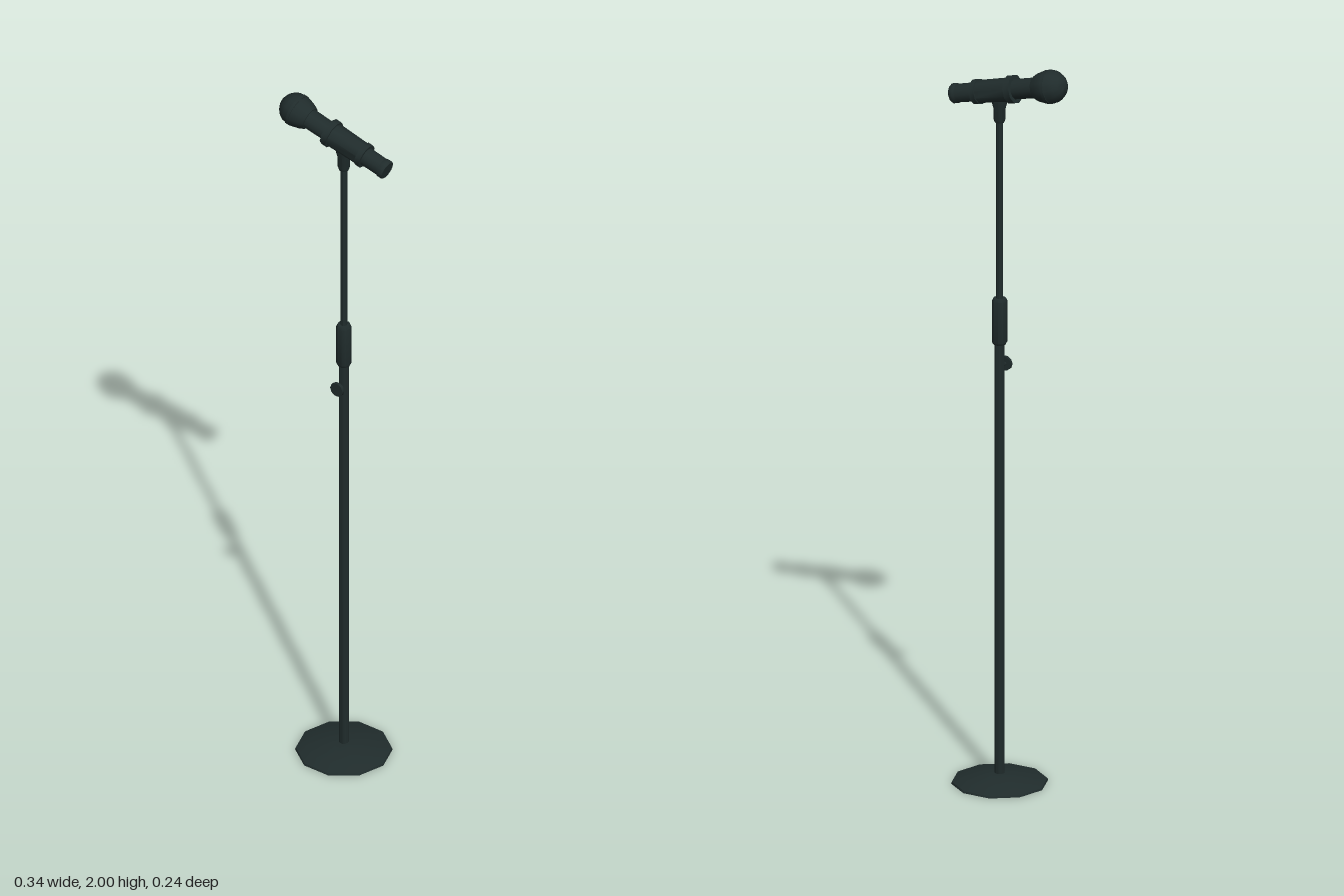
import * as THREE from 'three';
import { toCreasedNormals } from 'three/addons/utils/BufferGeometryUtils.js';

const SIDES = 10;
const POLE_X = 0.025;

export function createModel() {
  const model = new THREE.Group();
  model.name = 'microphoneStand';
  const black = new THREE.MeshStandardMaterial({ color: 0x202c2c });
  black.name = 'charcoal black';

  // Turned part from [radius, height] pairs, listed bottom to top
  const turned = (parent, name, points, sides = SIDES) => {
    const profile = points.map(([r, y]) => new THREE.Vector2(r, y));
    const geometry = new THREE.LatheGeometry(profile, sides);
    geometry.rotateY(Math.PI / 2);
    const mesh = new THREE.Mesh(toCreasedNormals(geometry, 0.68), black);
    mesh.name = name;
    parent.add(mesh);
    return mesh;
  };

  // Plain capped rod between two heights
  const rod = (parent, name, r0, r1, y0, y1, sides) =>
    turned(parent, name, [[0, y0], [r0, y0], [r1, y1], [0, y1]], sides);

  // Stand: domed base, lower tube, grip and inner tube
  const stand = new THREE.Group();
  stand.name = 'stand';
  stand.position.x = POLE_X;
  model.add(stand);
  turned(stand, 'base', [[0, 0], [0.127, 0], [0.125, 0.005], [0.095, 0.014],
    [0.06, 0.021], [0.03, 0.025], [0, 0.026]]);
  rod(stand, 'lowerTube', 0.013, 0.013, 0.02, 1.23);
  turned(stand, 'heightGrip', [[0, 1.216], [0.017, 1.216], [0.02, 1.222],
    [0.02, 1.336], [0.017, 1.343], [0, 1.343]]);
  rod(stand, 'upperTube', 0.009, 0.009, 1.33, 1.85);

  // Thumb screw on the front of the lower tube
  const screw = new THREE.Group();
  screw.name = 'thumbScrew';
  screw.position.y = 1.153;
  screw.rotation.x = Math.PI / 2;
  stand.add(screw);
  rod(screw, 'screwShaft', 0.006, 0.006, 0.005, 0.026);
  rod(screw, 'screwHead', 0.02, 0.02, 0.025, 0.033);

  // Clip mount under the microphone
  turned(stand, 'clipMount', [[0, 1.832], [0.013, 1.832], [0.016, 1.842],
    [0.016, 1.87], [0.02, 1.885], [0.02, 1.91], [0, 1.91]]);

  // Microphone, tilted with the head up on the right side
  const mic = new THREE.Group();
  mic.name = 'microphone';
  mic.position.set(POLE_X, 1.92, 0);
  mic.rotation.z = THREE.MathUtils.degToRad(76);
  model.add(mic);
  turned(mic, 'handle', [[0, -0.13], [0.025, -0.13], [0.028, 0.116], [0, 0.116]], 12);
  turned(mic, 'tailCap', [[0, -0.144], [0.024, -0.144], [0.027, -0.14],
    [0.027, -0.132], [0.025, -0.126], [0, -0.126]], 12);

  // Clip sleeve with a raised ring at each end
  rod(mic, 'clipSleeve', 0.031, 0.033, -0.07, 0.044);
  rod(mic, 'clipFrontRing', 0.038, 0.038, 0.032, 0.05);
  rod(mic, 'clipRearRing', 0.034, 0.034, -0.075, -0.06);

  // Grille: tapered lower cup, band and rounded dome
  turned(mic, 'grilleCup', [[0, 0.112], [0.031, 0.112], [0.038, 0.126],
    [0.044, 0.147], [0.044, 0.155], [0, 0.155]], 12);
  rod(mic, 'grilleBand', 0.046, 0.046, 0.151, 0.159, 12);
  const dome = [[0, 0.157]];
  for (let i = 0; i <= 5; i++) {
    const a = (i / 5) * Math.PI / 2;
    dome.push([i === 5 ? 0 : 0.045 * Math.cos(a), 0.157 + 0.046 * Math.sin(a)]);
  }
  turned(mic, 'grilleDome', dome, 12);

  return model;
}
